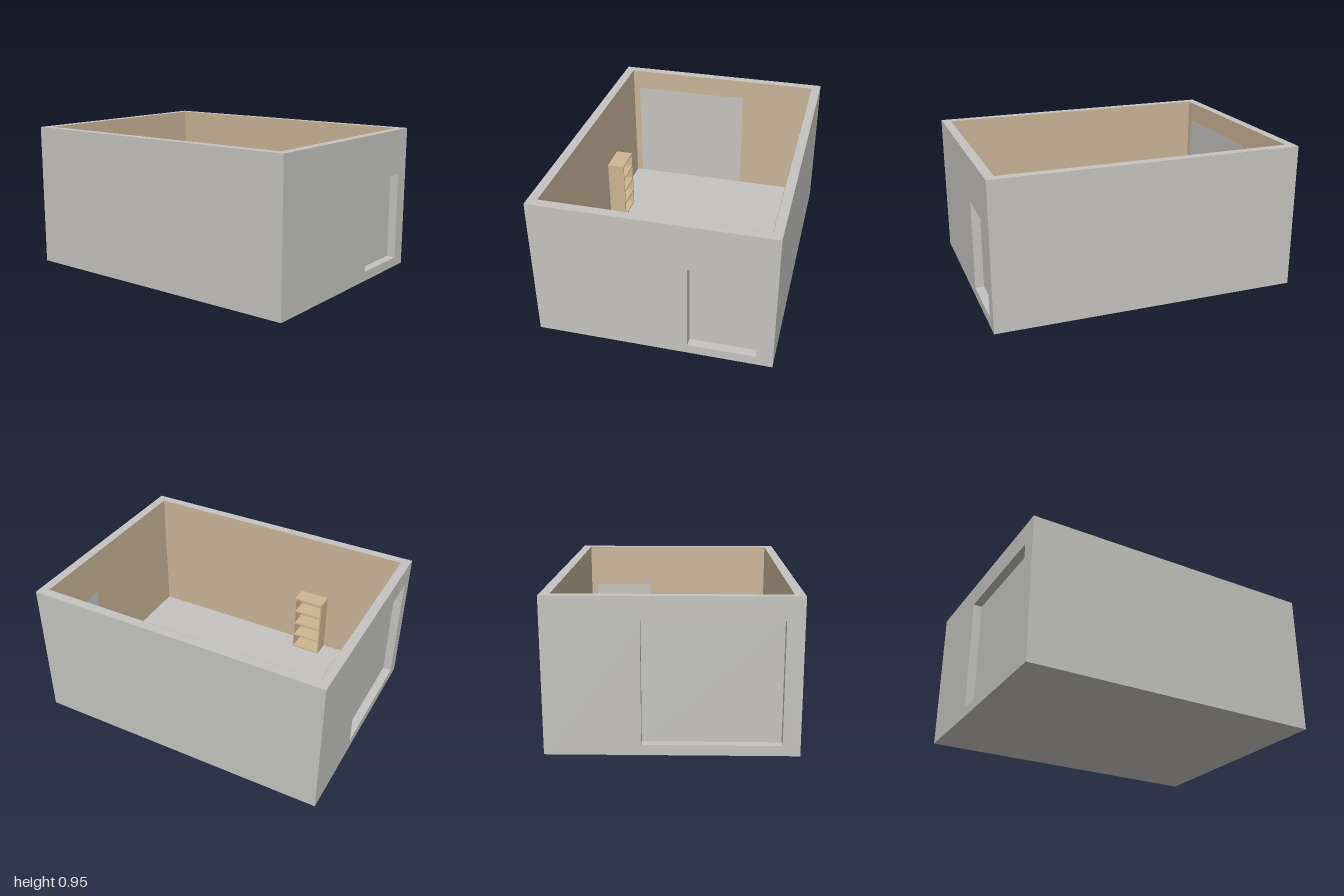
import * as THREE from 'three';

const W = 1.5, D = 2, H = 0.95, T = 0.06, FLOOR = 0.063, SKIN = 0.001;

export function createModel() {
  const room = new THREE.Group();
  room.name = 'room';

  const plaster = new THREE.MeshStandardMaterial({ color: 0xc4c3c0 });
  plaster.name = 'grey plaster';
  const tan = new THREE.MeshStandardMaterial({ color: 0xc8b597, side: THREE.DoubleSide });
  tan.name = 'tan lining';
  const wood = new THREE.MeshStandardMaterial({ color: 0xccb691 });
  wood.name = 'pale wood';

  function add(parent, name, geometry, material, x = 0, y = 0, z = 0) {
    const mesh = new THREE.Mesh(geometry, material);
    mesh.name = name;
    mesh.position.set(x, y, z);
    parent.add(mesh);
    return mesh;
  }
  // Box given by its minimum and maximum corners
  function block(parent, name, material, a, b) {
    const size = b.map((v, i) => v - a[i]);
    return add(parent, name, new THREE.BoxGeometry(...size), material,
      ...a.map((v, i) => v + size[i] / 2));
  }
  function rect(Type, x0, y0, x1, y1) {
    return new Type([[x0, y0], [x1, y0], [x1, y1], [x0, y1]].map(p => new THREE.Vector2(...p)));
  }

  // Floor slab
  const ix = W / 2 - T, iz = D / 2 - T;
  block(room, 'floor', plaster, [-ix, 0, -iz], [ix, FLOOR, iz]);

  // End walls with a door opening, a tan inner lining and a door flush with the inside
  const ends = [
    { name: 'front', s: 1, x0: 0.22, x1: 0.645, top: 0.65 },
    { name: 'back', s: -1, x0: -0.645, x1: 0.178, top: 0.81 },
  ];
  for (const { name, s, x0, x1, top } of ends) {
    const wall = rect(THREE.Shape, -W / 2, 0, W / 2, H);
    wall.holes.push(rect(THREE.Path, x0, FLOOR, x1, top));
    add(room, name + 'Wall', new THREE.ExtrudeGeometry(wall, { depth: T, bevelEnabled: false }),
      plaster, 0, 0, s > 0 ? iz : -D / 2);

    const lining = new THREE.Shape([
      [-ix, FLOOR], [x0, FLOOR], [x0, top], [x1, top],
      [x1, FLOOR], [ix, FLOOR], [ix, H], [-ix, H],
    ].map(p => new THREE.Vector2(...p)));
    add(room, name + 'Lining', new THREE.ShapeGeometry(lining), tan, 0, 0, s * (iz - SKIN));

    const z = [s * (iz - SKIN), s * (iz + 0.003)].sort((a, b) => a - b);
    block(room, name + 'Door', plaster, [x0, FLOOR, z[0]], [x1, top, z[1]]);
  }

  // Plain side walls with tan lining
  for (const [name, s] of [['left', 1], ['right', -1]]) {
    add(room, name + 'Wall', new THREE.BoxGeometry(T, H, 2 * iz), plaster, s * (W / 2 - T / 2), H / 2, 0);
    const lining = add(room, name + 'Lining', new THREE.PlaneGeometry(2 * iz, H - FLOOR), tan,
      s * (ix - SKIN), (H + FLOOR) / 2, 0);
    lining.rotation.y = -s * Math.PI / 2;
  }

  // Open bookshelf against the right wall
  const shelf = new THREE.Group();
  shelf.name = 'bookshelf';
  room.add(shelf);
  const x0 = -ix + 0.002, x1 = -0.57, z0 = -0.45, z1 = -0.24, top = 0.5, t = 0.01;
  block(shelf, 'backPanel', wood, [x0, FLOOR, z0 + t], [x0 + 0.006, top - t, z1 - t]);
  for (const z of [z0, z1 - t]) block(shelf, 'sidePanel', wood, [x0, FLOOR, z], [x1, top - t, z + t]);
  block(shelf, 'topBoard', wood, [x0, top - t, z0], [x1, top, z1]);
  const pitch = (top - t - FLOOR) / 4;
  for (let i = 0; i < 4; i++) {
    const y = FLOOR + i * pitch;
    block(shelf, 'shelfBoard', wood, [x0 + 0.006, y, z0 + t], [x1, y + t, z1 - t]);
  }
  return room;
}
